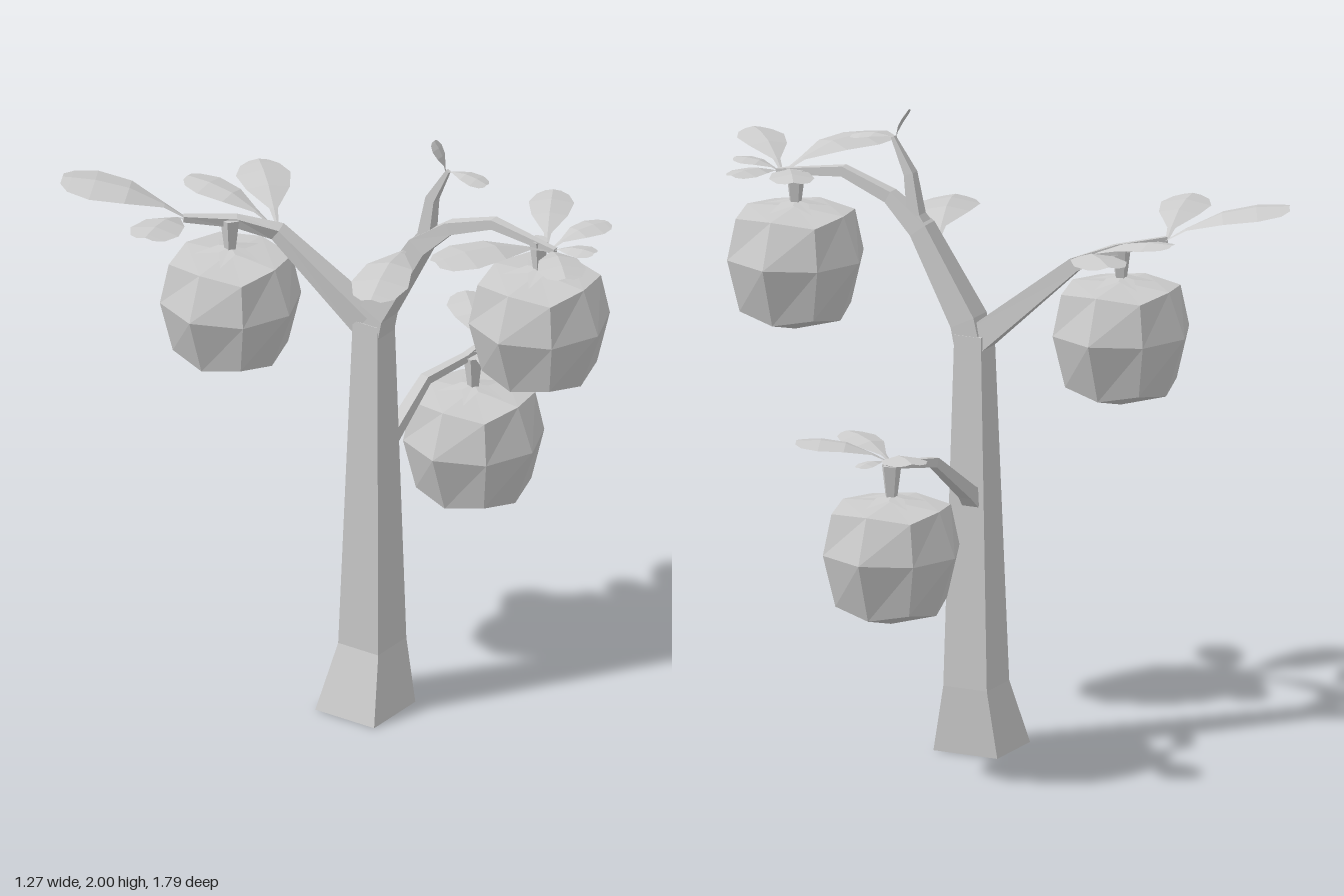
import * as THREE from 'three';

const V = (a) => new THREE.Vector3(...a);
const bark = new THREE.MeshStandardMaterial({ color: 0xcccccc, flatShading: true });
const thin = new THREE.MeshStandardMaterial({ color: 0xcccccc, flatShading: true, side: THREE.DoubleSide });

function add(parent, name, geometry, material) {
  const mesh = new THREE.Mesh(geometry, material);
  mesh.name = name;
  parent.add(mesh);
  return mesh;
}

// Faceted geometry from a list of Vector3 triangles
function facets(tris) {
  const g = new THREE.BufferGeometry().setFromPoints(tris);
  g.computeVertexNormals();
  return g;
}

// Square-section limb through points [x, y, z, halfWidth]; axis fixes the ring direction
function limb(points, ref, axis) {
  const centres = points.map((p) => V(p.slice(0, 3)));
  const last = centres.length - 1;
  const rings = centres.map((c, i) => {
    const t = axis ? V(axis)
      : centres[Math.min(i + 1, last)].clone().sub(centres[Math.max(i - 1, 0)]).normalize();
    const u = V(ref).addScaledVector(t, -V(ref).dot(t)).normalize();
    const v = t.clone().cross(u);
    const h = points[i][3];
    return [[1, 1], [-1, 1], [-1, -1], [1, -1]].map(([a, b]) =>
      c.clone().addScaledVector(u, a * h).addScaledVector(v, b * h));
  });
  const tris = [];
  for (let i = 0; i < last; i++) {
    for (let j = 0; j < 4; j++) {
      const k = (j + 1) % 4, a = rings[i], b = rings[i + 1];
      tris.push(a[j], a[k], b[k], a[j], b[k], b[j]);
    }
  }
  const s = rings[0], e = rings[last];
  tris.push(s[0], s[2], s[1], s[0], s[3], s[2], e[0], e[1], e[2], e[0], e[2], e[3]);
  return facets(tris);
}

// Creased, arched leaf from base to tip
function leaf(base, tip, width) {
  const a = V(base), d = V(tip).sub(a);
  const side = d.clone().cross(V([0, 1, 0])).normalize();
  const up = side.clone().cross(d).normalize();
  const rows = [[0, 0.06], [0.18, 0.16], [0.48, 0.8], [0.75, 1], [0.93, 0.72], [1, 0.35]].map(([s, w]) => {
    const mid = a.clone().addScaledVector(d, s)
      .addScaledVector(up, Math.sin(Math.PI * s) * 0.09 * d.length());
    return [-1, 0, 1].map((k) => mid.clone()
      .addScaledVector(side, k * w * width / 2)
      .addScaledVector(up, -Math.abs(k) * w * width * 0.1));
  });
  const tris = [];
  for (let i = 0; i < rows.length - 1; i++) {
    for (let k = 0; k < 2; k++) {
      const p = rows[i], q = rows[i + 1];
      tris.push(p[k], p[k + 1], q[k + 1], p[k], q[k + 1], q[k]);
    }
  }
  return facets(tris);
}

// Blocky round fruit: a 2x2 divided cube pushed to a sphere, flatter on top
function fruitBody() {
  const g = new THREE.BoxGeometry(2, 2, 2, 2, 2, 2);
  const pos = g.attributes.position, p = new THREE.Vector3();
  for (let i = 0; i < pos.count; i++) {
    p.fromBufferAttribute(pos, i).round();
    const n = Math.abs(p.x) + Math.abs(p.y) + Math.abs(p.z);
    const level = p.y;
    p.normalize().multiplyScalar(0.22);
    if (level > 0) {
      p.multiplyScalar(1.07);
      p.y = [0, 0.155, 0.142, 0.13][n];
    } else if (level < 0) {
      p.y = -[0, 0.235, 0.19, 0.165][n];
    }
    pos.setXYZ(i, p.x, p.y, p.z);
  }
  g.computeVertexNormals();
  return g;
}

// Five-pointed star on top of the fruit
function calyx() {
  const tris = [], centre = V([0, 0.175, 0]);
  const point = (i) => {
    const a = i * Math.PI / 5, r = i % 2 ? 0.045 : 0.11;
    return V([Math.sin(a) * r, i % 2 ? 0.168 : 0.152, Math.cos(a) * r]);
  };
  for (let i = 0; i < 10; i++) tris.push(centre, point(i), point(i + 1));
  return facets(tris);
}

export function createModel() {
  const tree = new THREE.Group();
  tree.name = 'fruitTree';

  // Trunk with flared foot
  add(tree, 'trunk', limb([
    [-0.11, 0, -0.03, 0.11], [-0.073, 0.21, -0.03, 0.075], [-0.08, 1.32, -0.02, 0.046],
  ], [1, 0, 0], [0, 1, 0]), bark);

  // Branches and twigs
  const branches = {
    frontBranch: [[-0.08, 1.27, -0.02, 0.044], [-0.08, 1.36, 0, 0.044], [-0.08, 1.63, 0.16, 0.032],
      [-0.08, 1.72, 0.27, 0.02], [-0.08, 1.78, 0.43, 0.016], [-0.08, 1.75, 0.66, 0.009]],
    topTwig: [[-0.08, 1.6, 0.14, 0.03], [-0.08, 1.67, 0.18, 0.022], [-0.08, 1.8, 0.2, 0.016],
      [-0.08, 1.91, 0.26, 0.006]],
    backBranch: [[-0.08, 1.3, -0.03, 0.042], [-0.15, 1.56, -0.33, 0.022], [-0.23, 1.6, -0.43, 0.016],
      [-0.34, 1.62, -0.55, 0.01]],
    sideBranch: [[-0.03, 0.81, -0.04, 0.028], [0.01, 0.84, -0.04, 0.022], [0.22, 0.985, -0.035, 0.015],
      [0.37, 1.01, 0.01, 0.012], [0.44, 1.03, 0.02, 0.008]],
  };
  for (const [name, pts] of Object.entries(branches)) {
    add(tree, name, limb(pts, name === 'sideBranch' ? [0, 0, 1] : [1, 0, 0]), bark);
  }

  // Hanging fruits with calyx and stem
  for (const at of [[-0.066, 1.495, 0.59], [-0.245, 1.34, -0.44], [0.39, 0.74, 0.025]]) {
    const fruit = new THREE.Group();
    fruit.name = 'fruit';
    fruit.position.set(...at);
    add(fruit, 'fruitBody', fruitBody(), bark);
    add(fruit, 'calyx', calyx(), thin);
    add(fruit, 'stem', new THREE.CylinderGeometry(0.032, 0.018, 0.11, 5), bark).position.y = 0.215;
    tree.add(fruit);
  }

  // Leaves: base, tip, width
  const leaves = [
    // back branch
    [[-0.33, 1.62, -0.55], [-0.5, 1.73, -0.89], 0.2],
    [[-0.34, 1.62, -0.55], [-0.63, 1.69, -0.49], 0.16],
    [[-0.14, 1.58, -0.34], [0.09, 1.64, -0.57], 0.17],
    [[-0.15, 1.58, -0.36], [-0.16, 1.66, -0.66], 0.13],
    // front branch
    [[-0.09, 1.6, 0.11], [-0.48, 1.63, 0.25], 0.18],
    [[-0.09, 1.75, 0.64], [-0.45, 1.81, 0.47], 0.18],
    [[-0.09, 1.75, 0.65], [-0.31, 1.81, 0.86], 0.15],
    [[-0.07, 1.75, 0.62], [0.18, 1.8, 0.47], 0.14],
    [[-0.07, 1.75, 0.64], [0.13, 1.78, 0.71], 0.11],
    [[-0.08, 1.75, 0.65], [-0.07, 1.78, 0.8], 0.09],
    // top twig
    [[-0.08, 1.905, 0.25], [-0.075, 1.9, 0.4], 0.08],
    [[-0.08, 1.905, 0.25], [-0.085, 2.0, 0.21], 0.06],
    // side branch
    [[0.43, 1.03, 0.02], [0.61, 1.09, -0.16], 0.14],
    [[0.42, 1.03, 0.02], [0.53, 1.09, 0.28], 0.15],
    [[0.4, 1.02, 0.02], [0.29, 1.07, 0.23], 0.13],
    [[0.43, 1.03, 0.02], [0.56, 1.04, 0.05], 0.06],
  ];
  for (const l of leaves) add(tree, 'leaf', leaf(...l), thin);

  return tree;
}
